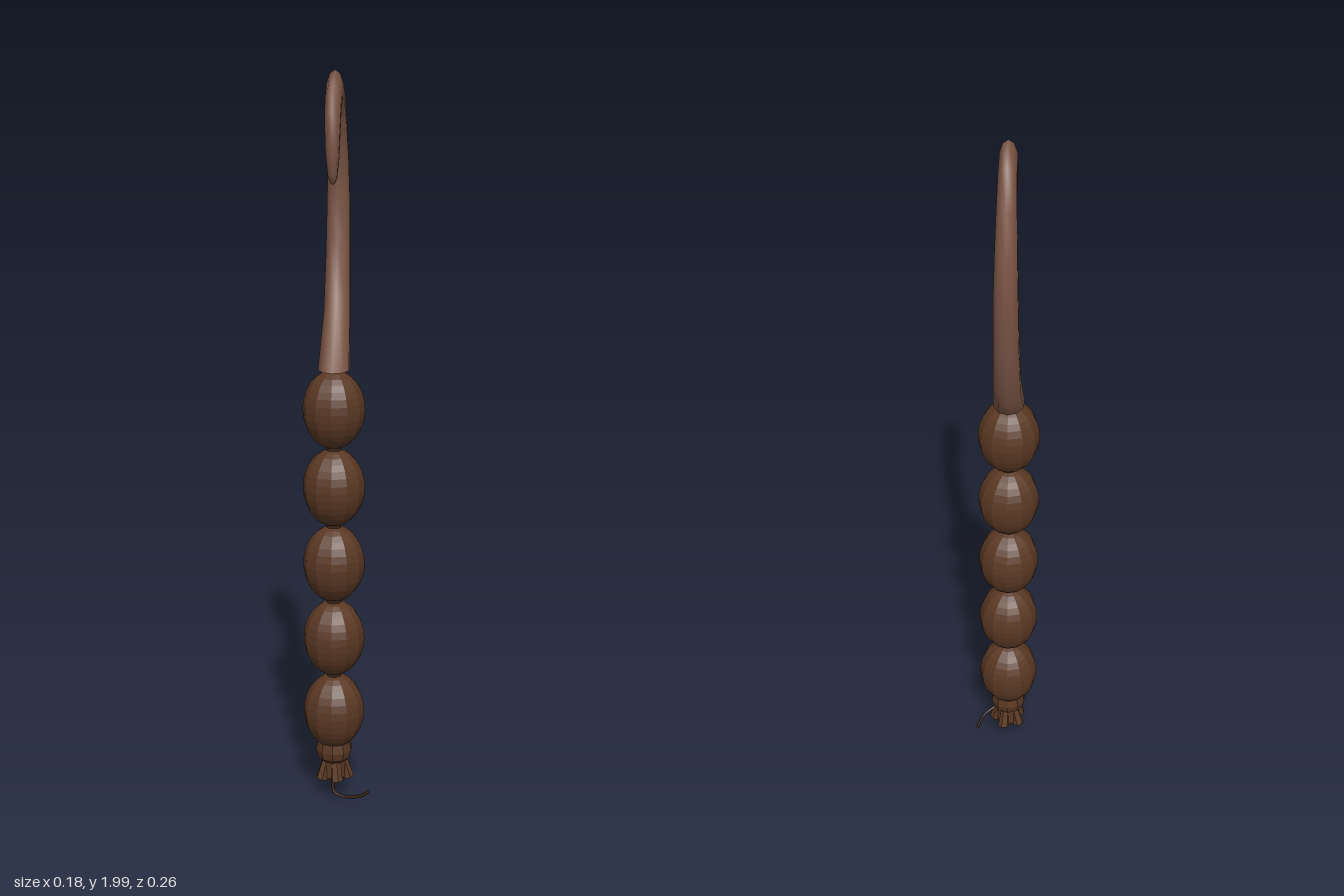
import * as THREE from 'three';

const CX = -0.008, CZ = 0.051; // axis of the beaded column

function material(name, color, extra = {}) {
  const m = new THREE.MeshStandardMaterial({ color, ...extra });
  m.name = name;
  return m;
}

// Tapered hook lofted through elliptical sections: [outer z, outer y, inner z, inner y, half width]
function hookGeometry() {
  const base = [-0.01, 1.223, 0.108, 1.223, 0.043];
  const sections = [
    [0.049, 1.223, 0.049, 1.223, 0], base, base,
    [-0.066, 1.29, -0.024, 1.40, 0.037],
    [-0.108, 1.443, -0.061, 1.56, 0.034],
    [-0.130, 1.612, -0.071, 1.68, 0.032],
    [-0.124, 1.735, -0.056, 1.785, 0.029],
    [-0.092, 1.855, -0.020, 1.871, 0.026],
    [-0.050, 1.950, 0.003, 1.891, 0.024],
    [0.013, 1.996, 0.018, 1.898, 0.023],
    [0.071, 1.961, 0.050, 1.871, 0.022],
    [0.103, 1.902, 0.066, 1.813, 0.021],
    [0.113, 1.813, 0.066, 1.755, 0.018],
    [0.099, 1.735, 0.066, 1.722, 0.012],
    [0.081, 1.712, 0.072, 1.712, 0.005],
    [0.076, 1.710, 0.076, 1.710, 0],
  ];
  const n = 10, pos = [], index = [];
  sections.forEach(([oz, oy, iz, iy, w], i) => {
    for (let j = 0; j < n; j++) {
      const a = (j / n) * Math.PI * 2, c = Math.cos(a) / 2;
      pos.push(CX + Math.sin(a) * w, (oy + iy) / 2 + c * (oy - iy), (oz + iz) / 2 + c * (oz - iz));
      // the second and third sections coincide to keep the base edge sharp
      if (i < sections.length - 1 && i !== 1) {
        const k = (j + 1) % n, p = i * n, q = p + n;
        index.push(p + j, q + j, q + k, p + j, q + k, p + k);
      }
    }
  });
  const g = new THREE.BufferGeometry();
  g.setAttribute('position', new THREE.Float32BufferAttribute(pos, 3));
  g.setIndex(index);
  g.computeVertexNormals();
  return g;
}

export function createModel() {
  const root = new THREE.Group();
  const hookMat = material('hook brown', 0x7b5545);
  const beadMat = material('bead brown', 0x5a3823, { flatShading: true });
  const stalkMat = material('tail brown', 0x5a3823, { side: THREE.DoubleSide, flatShading: true });
  const cordMat = material('dark cord', 0x3a2417);

  const add = (name, geometry, mat, x = CX, y = 0, z = CZ) => {
    const mesh = new THREE.Mesh(geometry, mat);
    mesh.name = name;
    mesh.position.set(x, y, z);
    root.add(mesh);
    return mesh;
  };

  add('hook', hookGeometry(), hookMat, 0, 0, 0);

  // Column of egg-shaped beads with short links between
  const bead = new THREE.SphereGeometry(0.084, 12, 16);
  bead.scale(1, 0.107 / 0.084, 1);
  for (let i = 0; i < 5; i++) {
    const y = 0.255 + i * 0.215;
    add('bead', bead, beadMat, CX, y);
    if (i < 4) add('link', new THREE.CylinderGeometry(0.02, 0.02, 0.03, 10), cordMat, CX, y + 0.1075);
  }

  // Collar and waist under the lowest bead
  const collar = [[0, 0.17], [0.047, 0.165], [0.051, 0.14], [0.046, 0.118], [0.035, 0.107],
    [0.034, 0.085], [0.036, 0.06], [0, 0.05]].map(([r, y]) => new THREE.Vector2(r, y)).reverse();
  add('collar', new THREE.LatheGeometry(collar, 10), stalkMat);

  // Flared petals around the end
  const petals = new THREE.Group();
  petals.name = 'petals';
  petals.position.set(CX, 0, CZ);
  for (let i = 0; i < 5; i++) {
    const g = new THREE.CylinderGeometry(0.012, 0.017, 0.062, 6);
    const petal = new THREE.Mesh(g, stalkMat);
    petal.name = 'petal';
    const a = (i / 5) * Math.PI * 2 + 0.3;
    petal.position.set(Math.sin(a) * 0.031, 0.085, Math.cos(a) * 0.031);
    petal.rotation.set(-0.28, a, 0, 'YXZ');
    petals.add(petal);
  }
  root.add(petals);

  // Small pointed tip below the petals
  const tip = add('tip', new THREE.ConeGeometry(0.022, 0.04, 8), stalkMat, CX, 0.046);
  tip.rotation.x = Math.PI;

  // Thin curling thread
  const path = new THREE.CatmullRomCurve3([
    [-0.008, 0.06, 0.07], [-0.008, 0.055, 0.1], [0, 0.04, 0.125], [0.03, 0.028, 0.125],
    [0.068, 0.016, 0.095], [0.088, 0.006, 0.046],
  ].map((p) => new THREE.Vector3(...p)));
  add('thread', new THREE.TubeGeometry(path, 20, 0.0045, 6), cordMat, 0, 0, 0);

  return root;
}
